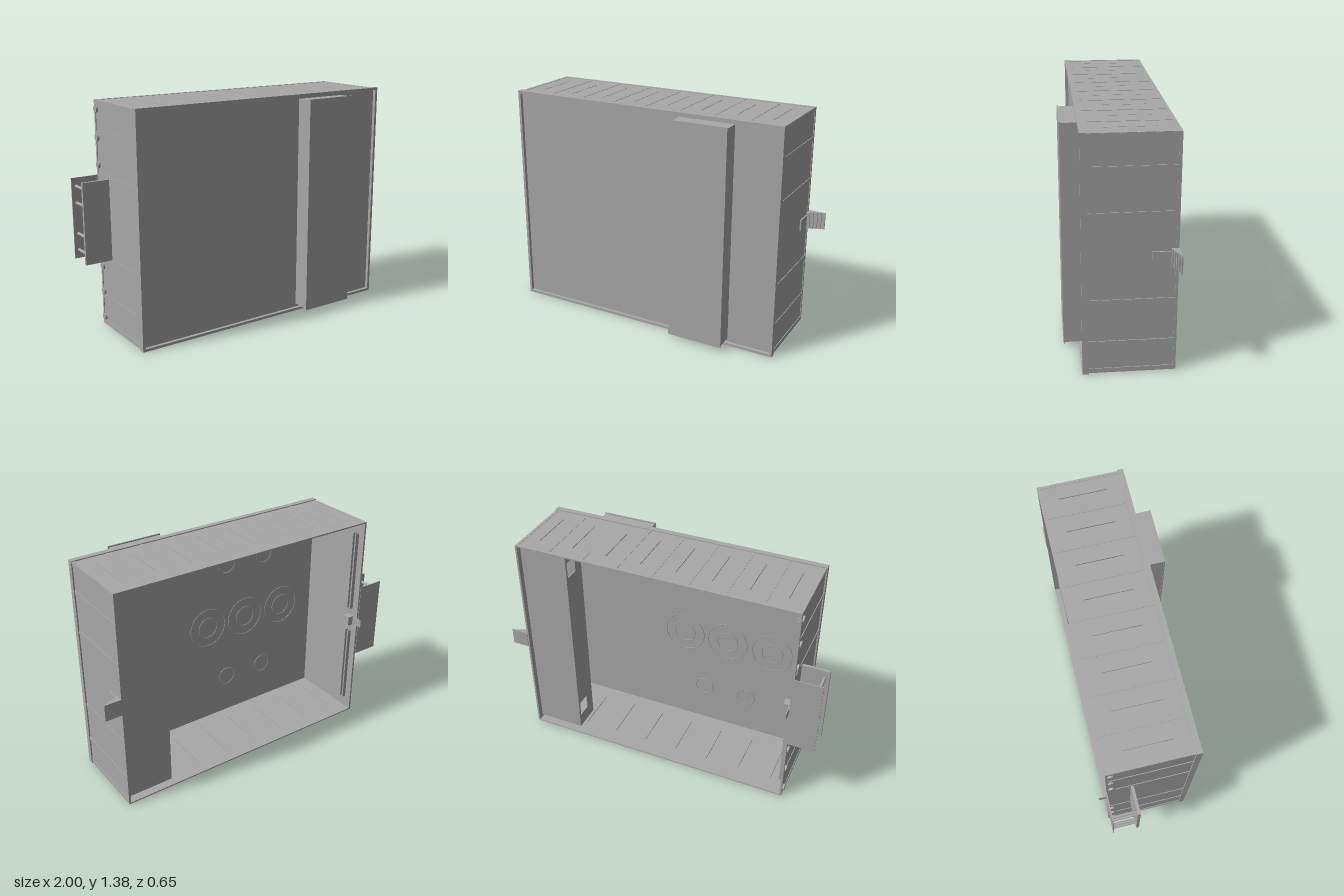
import * as THREE from 'three';

export function createModel() {
  const model = new THREE.Group();
  const grey = new THREE.MeshStandardMaterial({ color: 0xa8a8a8 });
  grey.name = 'sheet metal grey';

  const add = (name, geometry, parent = model) => {
    const mesh = new THREE.Mesh(geometry, grey);
    mesh.name = name;
    parent.add(mesh);
    return mesh;
  };
  // box given by its limits on each axis
  const box = (name, x0, x1, y0, y1, z0, z1, parent) => {
    const mesh = add(name, new THREE.BoxGeometry(x1 - x0, y1 - y0, z1 - z0), parent);
    mesh.position.set((x0 + x1) / 2, (y0 + y1) / 2, (z0 + z1) / 2);
    return mesh;
  };
  const group = (name) => {
    const g = new THREE.Group();
    g.name = name;
    model.add(g);
    return g;
  };
  const rectHole = (x0, x1, y0, y1) => new THREE.Path([
    new THREE.Vector2(x0, y0), new THREE.Vector2(x0, y1),
    new THREE.Vector2(x1, y1), new THREE.Vector2(x1, y0)]);
  const rectShape = (x0, x1, y0, y1) => new THREE.Shape([
    new THREE.Vector2(x0, y0), new THREE.Vector2(x1, y0),
    new THREE.Vector2(x1, y1), new THREE.Vector2(x0, y1)]);

  const L = -0.84, R = 0.9, H = 1.38, BACK = -0.28, RIM = 0.2, FRONT = 0.235;
  const bays = 8, bay = (R - L) / bays;

  // slotted roof and floor, each with raised dividers on the outside
  for (const top of [true, false]) {
    const g = group(top ? 'roof' : 'floor');
    const shape = rectShape(L + 0.005, R - 0.005, -RIM, -BACK);
    for (let i = 0; i < bays; i++) {
      const x = L + bay * (i + 0.5);
      shape.holes.push(rectHole(x - 0.002, x + 0.002, -0.11, 0.17));
    }
    const sheet = add('slottedSheet',
      new THREE.ExtrudeGeometry(shape, { depth: 0.006, bevelEnabled: false }), g);
    sheet.rotation.x = -Math.PI / 2;
    sheet.position.y = top ? H - 0.012 : 0.006;
    const y0 = top ? H - 0.006 : 0.004, y1 = top ? H - 0.004 : 0.006;
    for (let i = 0; i <= bays; i++) {
      const x = THREE.MathUtils.clamp(L + bay * i, L + 0.014, R - 0.014);
      box('divider', x - 0.009, x + 0.009, y0, y1, BACK, RIM, g);
    }
    box('backEdge', L + 0.005, R - 0.005, y0, y1, BACK, BACK + 0.02, g);
  }

  // side walls with raised dividers
  for (const s of [-1, 1]) {
    const g = group(s > 0 ? 'leftWall' : 'rightWall');
    const xo = s > 0 ? R - 0.008 : L + 0.008;
    const slab = (name, d0, d1, y0, y1, z0, z1) =>
      box(name, Math.min(xo + s * d0, xo + s * d1), Math.max(xo + s * d0, xo + s * d1), y0, y1, z0, z1, g);
    slab('wallSheet', -0.008, 0, 0.006, H - 0.006, BACK, RIM);
    for (const y of [0.02, 0.19, 0.44, 0.94, 1.19, 1.36]) {
      slab('divider', 0, 0.004, y - 0.012, y + 0.012, BACK, RIM);
    }
    slab('backEdge', 0, 0.004, 0.006, H - 0.006, BACK, BACK + 0.015);
  }

  // front panel sunk into a raised rim
  const rimShape = rectShape(L, R, 0, H);
  rimShape.holes.push(rectHole(L + 0.016, R - 0.016, 0.016, H - 0.016));
  add('frontRim', new THREE.ExtrudeGeometry(rimShape, { depth: FRONT - RIM, bevelEnabled: false }))
    .position.z = RIM;
  box('frontPanel', L + 0.01, R - 0.01, 0.01, H - 0.01, RIM, 0.215);

  // tall cover standing out of the front
  box('coverBody', 0.274, 0.611, 0.035, 1.35, 0.215, 0.32);
  box('coverLip', 0.27, 0.615, 0.027, 1.357, 0.319, 0.326);

  // knockout rings on the inside of the front panel
  const knockouts = group('knockouts');
  const ring = (x, y, r) => {
    add('knockoutRing', new THREE.TorusGeometry(r, 0.003, 4, 40), knockouts)
      .position.set(x, y, RIM);
  };
  for (const x of [0.015, -0.275, -0.57]) {
    ring(x, 0.69, 0.13);
    ring(x, 0.69, 0.068);
  }
  for (const x of [-0.13, -0.42]) {
    for (const y of [0.28, 1.1]) ring(x, y, 0.06);
  }

  // inner channel beside the left wall, its side pierced by three windows
  const channel = group('innerChannel');
  box('channelBack', 0.585, R - 0.012, 0.03, 1.36, -0.246, -0.24, channel);
  const sideShape = rectShape(0.07, 0.24, 0.03, 1.36);
  for (const y of [0.12, 1.2]) sideShape.holes.push(rectHole(0.14, 0.23, y, y + 0.1));
  const side = add('channelSide',
    new THREE.ExtrudeGeometry(sideShape, { depth: 0.006, bevelEnabled: false }), channel);
  side.rotation.y = Math.PI / 2;
  side.position.x = 0.585;

  // rails, clip and tab inside the right wall
  const rails = group('innerRails');
  for (const [y0, y1] of [[0.09, 0.61], [0.77, 1.29]]) {
    box('rail', -0.832, -0.8, y0, y1, -0.21, -0.2, rails);
    box('rail', -0.832, -0.8, y0, y1, -0.235, -0.225, rails);
  }
  box('clip', -0.832, -0.78, 0.66, 0.72, -0.25, -0.2, rails);
  box('tab', -0.822, -0.816, 0.667, 0.715, -0.325, -0.24, rails);

  // small round bumps along the right wall
  const bumps = group('wallBumps');
  for (const y of [0.055, 0.22, 0.38, 1.0, 1.16, 1.325]) {
    const bump = add('bump', new THREE.CylinderGeometry(0.02, 0.02, 0.012, 20), bumps);
    bump.rotation.z = Math.PI / 2;
    bump.position.set(L, y, -0.25);
  }

  // bracket on the right: two plates joined by rods
  const bracket = group('sideBracket');
  box('backPlate', -1, L + 0.004, 0.45, 0.935, -0.283, -0.278, bracket);
  box('frontPlate', -1, L + 0.004, 0.45, 0.935, -0.14, -0.123, bracket);
  for (const y of [0.5, 0.6, 0.785, 0.885]) {
    const rod = add('rod', new THREE.CylinderGeometry(0.009, 0.009, 0.14, 16), bracket);
    rod.rotation.x = Math.PI / 2;
    rod.position.set(-0.972, y, -0.21);
  }

  // stepped latch on the left
  const latch = group('steppedLatch');
  for (let i = 0; i < 5; i++) {
    const x0 = 0.895 + i * 0.021;
    box('step', x0, x0 + 0.021, 0.64, 0.742, -0.283, -0.24 - i * 0.0085, latch);
  }
  box('latchPlate', 0.89, 0.9, 0.655, 0.725, -0.24, -0.14, latch);

  return model;
}
